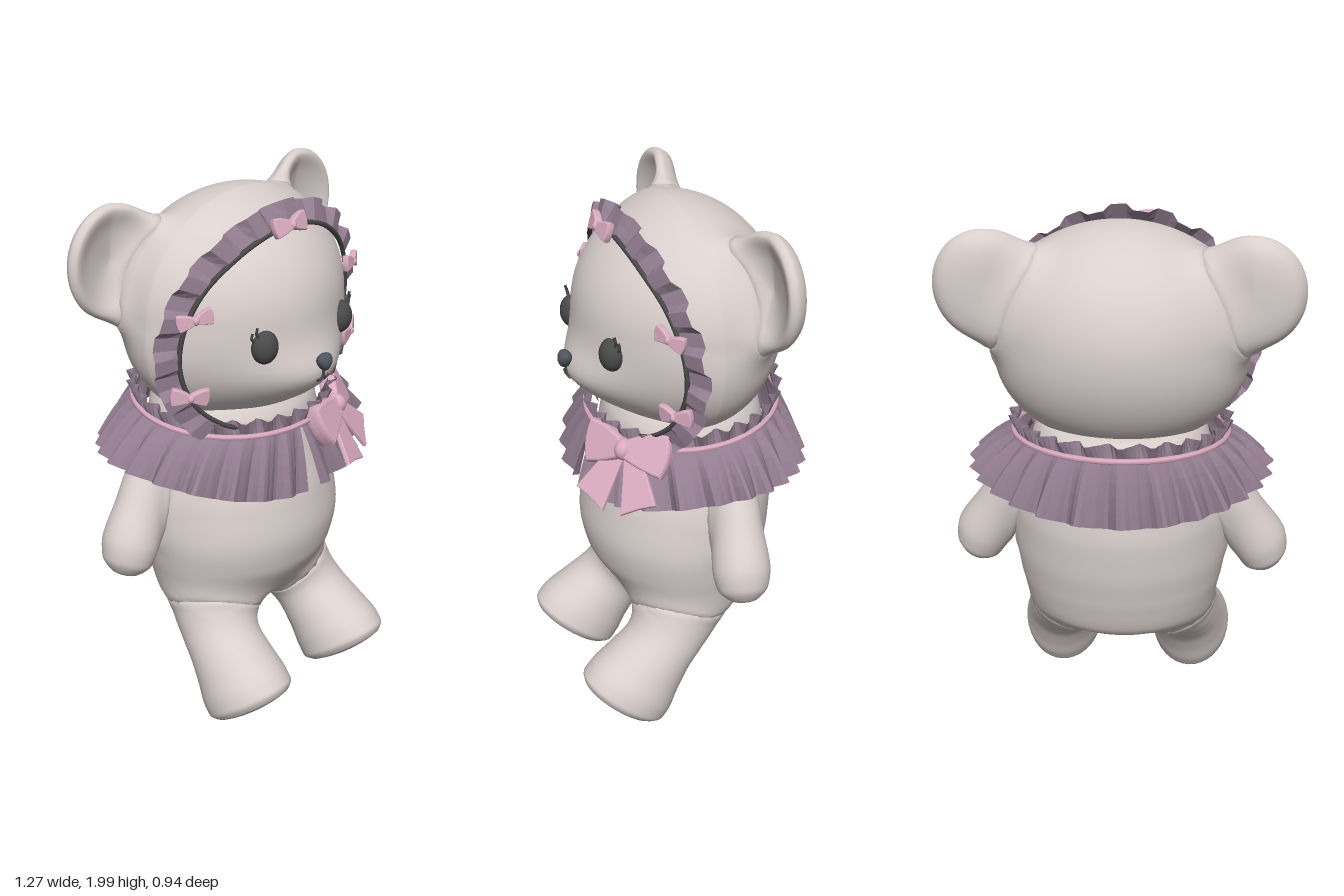
import * as THREE from 'three';
import { mergeVertices } from 'three/addons/utils/BufferGeometryUtils.js';
import { ParametricGeometry } from 'three/addons/geometries/ParametricGeometry.js';

const V = (x, y, z) => new THREE.Vector3(x, y, z);
const paint = (color, extra = {}) => new THREE.MeshStandardMaterial({ color, ...extra });
const plush = paint(0xd9cfcd), dark = paint(0x4a4a4a), noseGrey = paint(0x50555c), pink = paint(0xdcadc2);
const lace = paint(0x927d90, { flatShading: true, side: THREE.DoubleSide });

function add(parent, name, geometry, material, pos = [0, 0, 0]) {
  const mesh = new THREE.Mesh(geometry, material);
  mesh.name = name;
  mesh.position.set(...pos);
  parent.add(mesh);
  return mesh;
}

// Moves every vertex by a rule, then welds seams and smooths the normals
function sculpt(geometry, rule) {
  const p = geometry.attributes.position, v = V(0, 0, 0);
  for (let i = 0; i < p.count; i++) {
    rule(v.fromBufferAttribute(p, i));
    p.setXYZ(i, v.x, v.y, v.z);
  }
  geometry.deleteAttribute('uv');
  geometry.deleteAttribute('normal');
  const welded = mergeVertices(geometry, 1e-5);
  welded.computeVertexNormals();
  return welded;
}

// Smooth skin over elliptical sections [x, y, z, sideRadius, depthRadius]
function loft(sections, dir, rings = 40, sides = 36) {
  const path = new THREE.CatmullRomCurve3(sections.map((s) => V(s[0], s[1], s[2])));
  const radii = new THREE.CatmullRomCurve3(sections.map((s) => V(s[3], s[4], 0)));
  dir.normalize();
  const u = V(1, 0, 0).addScaledVector(dir, -dir.x).normalize(), v = dir.clone().cross(u);
  const pos = [], index = [];
  for (let i = 0; i <= rings; i++) {
    const c = path.getPoint(i / rings), r = radii.getPoint(i / rings);
    for (let j = 0; j < sides; j++) {
      const a = (j / sides) * Math.PI * 2;
      const q = c.clone().addScaledVector(u, r.x * Math.cos(a)).addScaledVector(v, r.y * Math.sin(a));
      pos.push(q.x, q.y, q.z);
      if (i === rings) continue;
      const k = i * sides + j, n = i * sides + (j + 1) % sides;
      index.push(k, n, k + sides, n, n + sides, k + sides);
    }
  }
  const g = new THREE.BufferGeometry();
  g.setAttribute('position', new THREE.Float32BufferAttribute(pos, 3));
  g.setIndex(index);
  const welded = mergeVertices(g, 1e-5);
  welded.computeVertexNormals();
  return welded;
}

// Fillets joined parts: swells both skins within distance k of each other
function fillet(main, others, k) {
  const swell = (a, b) => {
    const P = a.attributes.position, N = a.attributes.normal;
    const Q = b.attributes.position.array, M = b.attributes.normal;
    return Array.from({ length: P.count }, (_, i) => {
      const p = V(0, 0, 0).fromBufferAttribute(P, i);
      let best = Infinity, at = 0;
      for (let j = 0; j < Q.length; j += 3) {
        const d = (Q[j] - p.x) ** 2 + (Q[j + 1] - p.y) ** 2 + (Q[j + 2] - p.z) ** 2;
        if (d < best) { best = d; at = j; }
      }
      const m = V(0, 0, 0).fromBufferAttribute(M, at / 3);
      const gap = p.sub(V(Q[at], Q[at + 1], Q[at + 2])).dot(m);
      const h = Math.max(0, 1 - Math.max(Math.abs(gap), Math.sqrt(best) * 0.8) / k);
      const out = V(0, 0, 0).fromBufferAttribute(N, i).lerp(m, h / 2);
      return out.multiplyScalar((h * h * k) / 4 / Math.max(0.35, out.lengthSq()));
    });
  };
  const jobs = others.flatMap((o) => [[main, swell(main, o)], [o, swell(o, main)]]);
  for (const [g, moves] of jobs) {
    const p = g.attributes.position;
    moves.forEach((m, i) => p.setXYZ(i, p.getX(i) + m.x, p.getY(i) + m.y, p.getZ(i) + m.z));
    g.computeVertexNormals();
  }
}

const tube = (pts, r, closed = false, n = 12) =>
  new THREE.TubeGeometry(new THREE.CatmullRomCurve3(pts, closed), n, r, 6, closed);

// Forward bulge of the muzzle and the height of the face surface
const muzzle = (x, y) => 0.118 * Math.exp(-((x / 0.26) ** 2) - ((y - 1.38) / (y > 1.38 ? 0.12 : 0.2)) ** 2);
const headHalf = (up) => (up ? 0.385 : 0.44);
const faceDepth = (x, y, Z) => 0.345 * Z ** 1.5 + muzzle(x, y) * Math.sqrt(Z);
function faceZ(x, y) {
  const Y = (y - 1.61) / headHalf(y > 1.61);
  return faceDepth(x, y, Math.sqrt(Math.max(0, 1 - Y * Y - (x / 0.455) ** 2)));
}

// Bow of unit width: two puffed loops, a knot and optional tails
function bow(parent, name, size, pos, [tilt, yaw, roll], tails) {
  const g = new THREE.Group();
  g.name = name;
  const opts = { depth: 0.06, bevelEnabled: true, bevelThickness: 0.06, bevelSize: 0.03, bevelSegments: 3, curveSegments: 8 };
  for (const s of [-1, 1]) {
    const loop = new THREE.Shape().moveTo(0, 0.06);
    loop.quadraticCurveTo(s * 0.25, 0.2, s * 0.44, 0.2).quadraticCurveTo(s * 0.5, 0, s * 0.42, -0.18);
    loop.quadraticCurveTo(s * 0.22, -0.15, 0, -0.06);
    add(g, 'bowLoop', new THREE.ExtrudeGeometry(loop, opts), pink, [0, 0, -0.03]).rotation.y = s * 0.15;
    if (!tails) continue;
    const tail = new THREE.Shape([[0, 0], [s * 0.14, 0.02], [s * 0.46, -0.46], [s * 0.3, -0.52], [s * 0.12, -0.62]]
      .map(([x, y]) => new THREE.Vector2(x, y)));
    add(g, 'bowTail', new THREE.ExtrudeGeometry(tail, { ...opts, depth: 0.02, bevelThickness: 0.015, bevelSize: 0.015 }),
      pink, [0, 0, -0.02]).rotation.x = -0.1;
  }
  add(g, 'bowKnot', new THREE.SphereGeometry(0.1, 14, 10), pink, [0, 0, 0.03]).scale.set(0.9, 1.1, 1.1);
  g.scale.setScalar(size);
  g.position.set(...pos);
  g.rotation.set(tilt, yaw, roll, 'YXZ');
  parent.add(g);
}

export function createModel() {
  const bear = new THREE.Group();
  bear.name = 'plushBear';

  // Body
  const body = loft([
    [0, 0.39, -0.02, 0, 0], [0, 0.4, -0.02, 0.2, 0.15], [0, 0.48, -0.03, 0.335, 0.26],
    [0, 0.62, -0.01, 0.385, 0.325], [0, 0.76, -0.01, 0.4, 0.35], [0, 0.9, -0.025, 0.388, 0.345],
    [0, 1.02, -0.035, 0.36, 0.322], [0, 1.12, -0.04, 0.34, 0.3], [0, 1.22, -0.04, 0.32, 0.28],
    [0, 1.28, -0.04, 0.28, 0.24], [0, 1.3, -0.04, 0, 0]], V(0, 1, 0), 60, 64);
  add(bear, 'body', body, plush);

  // Head with a sloping forehead, soft muzzle and full cheeks
  const head = sculpt(new THREE.SphereGeometry(1, 72, 52), (v) => {
    const { x: X, y: Y, z: Z } = v;
    v.x = 0.455 * X * (1 + 0.18 * Math.max(0, -Y));
    v.y = 1.61 + Y * headHalf(Y > 0);
    v.z = Z > 0 ? faceDepth(v.x, v.y, Z) : Z * 0.38;
  });
  add(bear, 'head', head, plush);

  const earProfile = new THREE.SplineCurve([[0, -0.06], [0.09, -0.056], [0.15, -0.038], [0.18, 0], [0.175, 0.024],
    [0.155, 0.03], [0.1, 0.012], [0, -0.004]].map(([x, y]) => new THREE.Vector2(x, y))).getPoints(36);
  earProfile[0].x = earProfile[36].x = 0;
  const ears = [], arms = [], legs = [];

  for (const s of [-1, 1]) {
    const side = s > 0 ? 'left' : 'right';

    // Cupped ear that sweeps forward into the head
    const ear = sculpt(new THREE.LatheGeometry(earProfile, 48).rotateX(Math.PI / 2), (v) => {
      const inner = Math.max(0, (-s * v.x) / 0.18);
      v.set(v.x + s * 0.455, v.y * 1.1 + 1.8, v.z + 0.05 * inner - 0.165);
    });
    add(bear, side + 'Ear', ear, plush);
    ears.push(ear);

    // Arm
    const arm = loft([
      [s * 0.31, 1.12, -0.08, 0, 0], [s * 0.34, 1.08, -0.08, 0.07, 0.07], [s * 0.385, 1.01, -0.075, 0.088, 0.082],
      [s * 0.45, 0.9, -0.06, 0.096, 0.09], [s * 0.517, 0.785, -0.045, 0.105, 0.103], [s * 0.545, 0.71, -0.04, 0.09, 0.09],
      [s * 0.558, 0.668, -0.04, 0.045, 0.045], [s * 0.56, 0.657, -0.04, 0, 0]], V(s * 0.4, -0.9, 0.08));
    add(bear, side + 'Arm', arm, plush);
    arms.push(arm);

    // Leg stepping forward, ending in a flat tilted sole: [distance from sole, x, radii]
    const leg = loft([[0.58, 0.19, 0, 0], [0.53, 0.2, 0.08, 0.09], [0.46, 0.21, 0.125, 0.13], [0.38, 0.228, 0.143, 0.14],
      [0.28, 0.247, 0.143, 0.138], [0.16, 0.26, 0.15, 0.163], [0.08, 0.266, 0.158, 0.186], [0.03, 0.266, 0.156, 0.19],
      [0, 0.266, 0.13, 0.165], [-0.015, 0.266, 0.075, 0.095], [-0.018, 0.266, 0, 0]].map(([d, x, ru, rv]) => {
      const back = 0.1 * Math.max(0, d - 0.12);
      return [s * x, 0.115 + 0.78 * d - 0.62 * back, 0.33 - 0.62 * d - 0.78 * back, ru, rv];
    }), V(0, -0.78, 0.62), 55);
    add(bear, side + 'Leg', leg, plush);
    legs.push(leg);

    // Eye with two lashes
    add(bear, side + 'Eye', new THREE.SphereGeometry(1, 24, 18), dark, [s * 0.19, 1.545, faceZ(0.19, 1.545) - 0.005])
      .scale.set(0.05, 0.06, 0.045);
    for (const [x, y, h] of [[0.218, 1.585, 0.045], [0.232, 1.572, 0.04]]) {
      const z = faceZ(x, y) + 0.015;
      add(bear, side + 'Lash', tube([V(s * x, y, z), V(s * (x + 0.014), y + h * 0.4, z), V(s * (x + 0.015), y + h, z + 0.006)],
        0.005), dark);
    }

    // Half of the smile
    add(bear, side + 'Mouth', tube([[0, 1.432], [0.003, 1.405], [0.018, 1.396], [0.032, 1.406]]
      .map(([x, y]) => V(s * x, y, faceZ(x, y) + 0.003)), 0.005), dark);
  }
  fillet(head, ears, 0.13);
  fillet(body, legs, 0.14);
  fillet(body, arms, 0.06);

  // Nose, narrower at the bottom
  add(bear, 'nose', sculpt(new THREE.SphereGeometry(1, 20, 14), (v) => {
    v.set(v.x * 0.037 * (0.8 + 0.35 * v.y), v.y * 0.032, v.z * 0.026);
  }), noseGrey, [0, 1.462, 0.4]);

  // Headband cord framing the face
  const half = [[0.1, 1.893, 0.222], [0.22, 1.845, 0.205], [0.345, 1.74, 0.165], [0.412, 1.6, 0.135],
    [0.415, 1.46, 0.125], [0.37, 1.335, 0.15], [0.28, 1.25, 0.195], [0.18, 1.21, 0.23]];
  const cord = new THREE.CatmullRomCurve3([
    ...half.map(([x, y, z]) => V(-x, y, z)).reverse(), V(0, 1.905, 0.225), ...half.map((p) => V(...p))]);
  add(bear, 'headbandCord', new THREE.TubeGeometry(cord, 80, 0.009, 6), dark);

  // Box-pleated headband frill
  const pleats = 16;
  add(bear, 'headbandFrill', new ParametricGeometry((u, v, out) => {
    const p = cord.getPointAt(u);
    const d = V(p.x, p.y - 1.58, 0).normalize();
    const w = [1, 1, 1, -1, -1, -1][Math.round(u * pleats * 6) % 6];
    out.copy(p).addScaledVector(d, v * (0.075 + 0.007 * w));
    out.z += v * (-0.045 + 0.008 * w) + 0.006 * w;
  }, pleats * 6, 2), lace);

  // Small bows along the headband
  bow(bear, 'topBow', 0.155, [-0.02, 1.92, 0.255], [-0.3, 0, 0], false);
  for (const s of [-1, 1]) {
    bow(bear, 'upperSideBow', 0.13, [s * 0.395, 1.665, 0.18], [-0.1, s * 0.45, s * -0.15], false);
    bow(bear, 'lowerSideBow', 0.14, [s * 0.41, 1.385, 0.165], [0, s * 0.45, s * 0.15], false);
  }

  // Pleated collar, split at the front, with a short standing ruffle and a ribbon
  const neck = (a, grow = 0) => V((0.385 + grow) * Math.sin(a), 1.225 - 0.035 * Math.cos(a), -0.04 + (0.335 + grow) * Math.cos(a));
  const wave = (u, n) => {
    const t = Math.PI * 2 * (u * n + 0.25 * Math.sin(u * 19));
    return Math.sin(t) + 0.3 * Math.sin(2 * t);
  };
  add(bear, 'collarFrill', new ParametricGeometry((u, v, out) => {
    const gap = 0.01 + 0.06 * v;
    const a = gap + u * (Math.PI * 2 - 2 * gap), c = Math.cos(a);
    const w = wave(u, 26) * (0.15 + 0.85 * v);
    const hem = V(0.54 * Math.sin(a), 1.08 - (c > 0 ? 0.125 : 0.05) * c * c, -0.04 + 0.41 * c);
    out.copy(neck(a)).lerp(hem, v);
    out.x *= 1 + 0.04 * w;
    out.z += 0.024 * w * c;
    out.y += 0.012 * w * v + 0.02 * Math.sin(v * Math.PI);
  }, 26 * 8, 5), lace);
  add(bear, 'collarRuffle', new ParametricGeometry((u, v, out) => {
    const a = u * Math.PI * 2;
    out.copy(neck(a, v * (0.005 + 0.02 * wave(u, 26))));
    out.y += v * 0.058;
  }, 26 * 6, 1), lace);
  add(bear, 'collarRibbon', tube(Array.from({ length: 32 }, (_, i) => neck((i / 32) * Math.PI * 2, 0.006)), 0.011, true, 96), pink);

  // Large collar bow lying on the slope of the frill
  bow(bear, 'collarBow', 0.36, [0.215, 1.18, 0.265], [-0.45, 0.5, 0.12], true);

  return bear;
}
